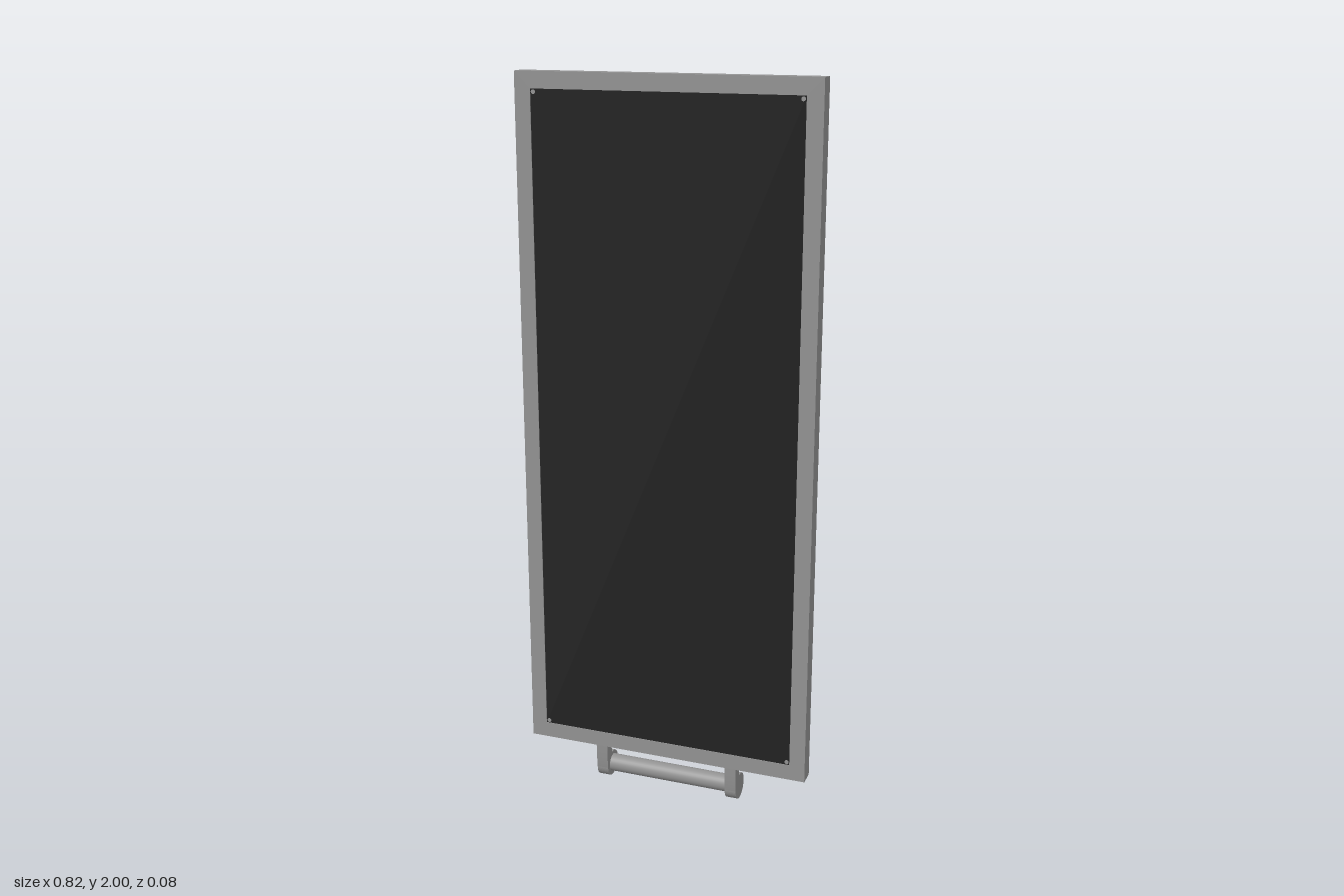
import * as THREE from 'three';

export function createModel() {
  const group = new THREE.Group();
  const metal = new THREE.MeshStandardMaterial({ color: 0x939393 });
  metal.name = 'grey metal';
  const dark = new THREE.MeshStandardMaterial({ color: 0x222222 });
  dark.name = 'dark face';

  const add = (name, geometry, material, x = 0, y = 0, z = 0) => {
    const mesh = new THREE.Mesh(geometry, material);
    mesh.name = name;
    mesh.position.set(x, y, z);
    group.add(mesh);
    return mesh;
  };

  const rect = (Path, w, h) => new Path([
    new THREE.Vector2(-w, -h), new THREE.Vector2(w, -h),
    new THREE.Vector2(w, h), new THREE.Vector2(-w, h),
  ]);

  // Rectangular border, open in the middle
  const midY = 1.055;
  const border = rect(THREE.Shape, 0.411, 0.945);
  border.holes.push(rect(THREE.Path, 0.367, 0.901));
  add('frame', new THREE.ExtrudeGeometry(border, { depth: 0.047, bevelEnabled: false }), metal, 0, midY, -0.007);

  // Panel set into the border, with a dark front face
  add('backPanel', new THREE.BoxGeometry(0.734, 1.802, 0.032), metal, 0, midY, 0.019);
  add('frontFace', new THREE.BoxGeometry(0.734, 1.802, 0.003), dark, 0, midY, 0.0365);

  // Small corner studs
  for (const sx of [-1, 1]) for (const sy of [-1, 1]) {
    const stud = add('cornerStud', new THREE.CylinderGeometry(0.006, 0.006, 0.003, 12), metal,
      sx * 0.359, midY + sy * 0.893, 0.038);
    stud.rotation.x = Math.PI / 2;
  }

  // Hooked bracket profile: strap flowing into a round boss
  const cx = 0.005, cy = 0.037, r = 0.037;
  const hook = new THREE.Shape();
  hook.moveTo(-0.037, 0.112);
  hook.quadraticCurveTo(-0.036, 0.065, cx - r, cy);
  hook.absarc(cx, cy, r, Math.PI, Math.PI * 2.56, false);
  hook.quadraticCurveTo(-0.004, 0.08, -0.004, 0.112);
  hook.closePath();
  const hookGeometry = new THREE.ExtrudeGeometry(hook, { depth: 0.033, bevelEnabled: false, curveSegments: 20 });
  hookGeometry.rotateY(Math.PI / 2);
  add('leftBracket', hookGeometry, metal, 0.178);
  add('rightBracket', hookGeometry, metal, -0.211);

  // Handle rod between the brackets
  const rod = add('handleRod', new THREE.CylinderGeometry(0.025, 0.025, 0.36, 32), metal, 0, 0.038, -0.006);
  rod.rotation.z = Math.PI / 2;

  return group;
}
